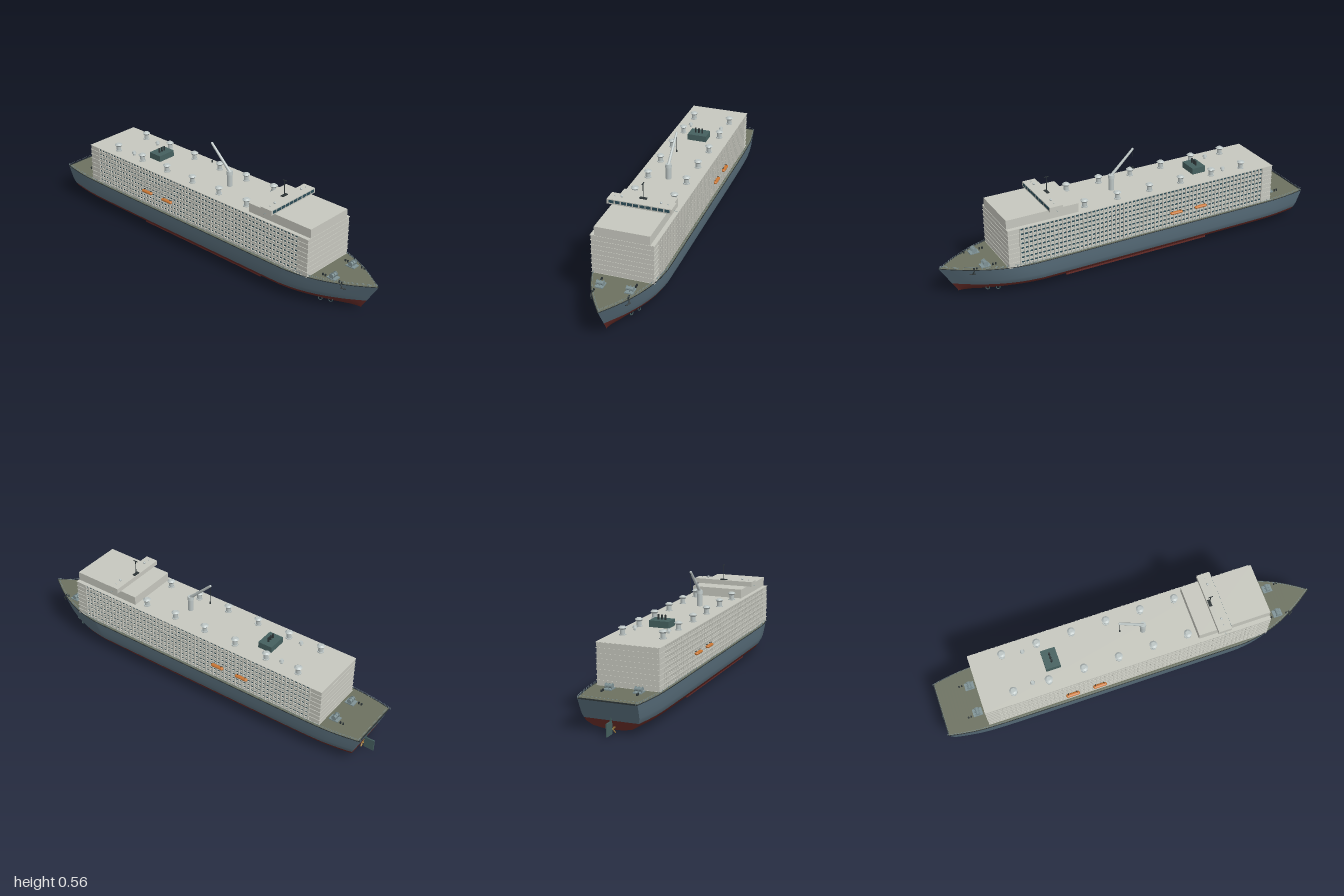
import * as THREE from 'three';
import { mergeGeometries } from 'three/addons/utils/BufferGeometryUtils.js';

const mat = (color, side = THREE.FrontSide) => new THREE.MeshStandardMaterial({ color, side });
const M = {
  blue: mat(0x566b78, THREE.DoubleSide), red: mat(0x642a26, THREE.DoubleSide),
  deck: mat(0x6c7160, THREE.DoubleSide), cream: mat(0xc6c7be), glass: mat(0x2c4c57),
  teal: mat(0x45605f), metal: mat(0x7f9295), pale: mat(0xbcc5c4), dark: mat(0x2c3436),
  orange: mat(0xc87533), brass: mat(0xb08a45),
};

// Geometry helpers: each returns a placed geometry ready for merging
const box = (x0, x1, y0, y1, z0, z1) =>
  new THREE.BoxGeometry(x1 - x0, y1 - y0, z1 - z0).translate((x0 + x1) / 2, (y0 + y1) / 2, (z0 + z1) / 2);
const cyl = (x, y0, y1, z, r0, r1 = r0, n = 12) =>
  new THREE.CylinderGeometry(r1, r0, y1 - y0, n).translate(x, (y0 + y1) / 2, z);
const ball = (x, y, z, r) => new THREE.SphereGeometry(r, 12, 8).translate(x, y, z);
const bar = (a, b, r0, r1 = r0, n = 8) => {
  const p = new THREE.Vector3(...a), d = new THREE.Vector3(...b).sub(p), len = d.length();
  const q = new THREE.Quaternion().setFromUnitVectors(new THREE.Vector3(0, 1, 0), d.normalize());
  return new THREE.CylinderGeometry(r1, r0, len, n).translate(0, len / 2, 0).applyQuaternion(q).translate(...a);
};

// Hull plan: half breadth along the length at deck level
const plan = new THREE.SplineCurve([[-0.99, 0.142], [-0.9, 0.158], [-0.78, 0.169], [-0.5, 0.172], [0, 0.172],
  [0.5, 0.172], [0.6, 0.169], [0.7, 0.152], [0.8, 0.118], [0.9, 0.067], [1, 0]].map(p => new THREE.Vector2(...p)));
const DECK = 0.158;
// Point on the hull: t along the length, y height, f breadth factor
function hullPoint(t, y, f) {
  const p = plan.getPoint(t), k = 1 - Math.min(1, (y - 0.015) / (DECK - 0.015));
  const u = (p.x + 0.99) / 1.99;
  return [p.x + k * (0.055 * (1 - u) - 0.09 * u), y, Math.max(0, p.y) * f];
}
function gridGeometry(rows) {
  const n = rows[0].length, index = [];
  for (let i = 0; i < rows.length - 1; i++) for (let j = 0; j < n - 1; j++) {
    const a = i * n + j, b = a + n;
    index.push(a, a + 1, b, b, a + 1, b + 1);
  }
  const g = new THREE.BufferGeometry();
  g.setAttribute('position', new THREE.Float32BufferAttribute(rows.flat(2), 3));
  g.setIndex(index);
  g.computeVertexNormals();
  return g;
}
// Side shells and transom of one band of the hull
function hullBand(levels) {
  const N = 64, parts = [];
  for (const s of [1, -1]) {
    parts.push(gridGeometry(levels.map(([y, f]) => Array.from({ length: N + 1 }, (_, i) => {
      const p = hullPoint(s > 0 ? i / N : 1 - i / N, y, f);
      return [p[0], p[1], p[2] * s];
    }))));
  }
  parts.push(gridGeometry(levels.map(([y, f]) => {
    const p = hullPoint(0, y, f);
    return [[p[0], p[1], -p[2]], [p[0], p[1], p[2]]];
  })));
  return mergeGeometries(parts);
}

export function createModel() {
  const ship = new THREE.Group();
  ship.name = 'ship';
  const add = (name, material, ...geos) => {
    const m = new THREE.Mesh(mergeGeometries(geos.flat()), material);
    m.name = name;
    ship.add(m);
  };
  const both = f => [1, -1].flatMap(f);

  // Hull
  add('topsides', M.blue, hullBand([[0.062, 0.915], [0.075, 0.95], [0.09, 0.975], [0.125, 0.992], [DECK, 1]]));
  add('bottom', M.red, hullBand([[0.015, 0], [0.018, 0.36], [0.027, 0.66], [0.045, 0.855], [0.062, 0.915]]));
  const edge = Array.from({ length: 65 }, (_, i) => hullPoint(i / 64, DECK, 1));
  add('mainDeck', M.deck, gridGeometry(edge.map(([x, y, z]) => [[x, y - 0.001, -z], [x, y - 0.001, z]])));

  // Deck edge and railings
  const rim = (y, inset, r) => both(s => new THREE.TubeGeometry(new THREE.CatmullRomCurve3(
    edge.map(([x, , z]) => new THREE.Vector3(x - inset * 1.5, y, s * Math.max(0, z - inset)))), 100, r, 5));
  add('gunwale', M.dark, rim(DECK, 0, 0.002), box(-0.991, -0.987, 0.154, 0.16, -0.142, 0.142));
  add('railings', M.metal, rim(0.169, 0.004, 0.0006), rim(0.164, 0.004, 0.0005),
    bar([-0.985, 0.169, -0.138], [-0.985, 0.169, 0.138], 0.0006),
    both(s => edge.map(([x, , z]) => cyl(x - 0.006, 0.157, 0.169, s * Math.max(0, z - 0.004), 0.0007, 0.0007, 5))));

  // Accommodation block: solid ends, glazed sides, deck slabs and cabin dividers
  const X0 = -0.78, X1 = 0.705, B0 = -0.72, B1 = 0.645, Y0 = 0.158, Y1 = 0.355, W = 0.152;
  const floors = 8, pitch = (Y1 - Y0) / floors;
  add('accommodationEnds', M.cream, box(X0, B0, Y0, Y1, -W, W), box(B1, X1, Y0, Y1, -W, W));
  add('cabinWindows', M.glass, box(B0, B1, Y0, Y1 - 0.001, -W + 0.006, W - 0.006));
  const slabs = [], ledges = [], dividers = [];
  for (let i = 0; i <= floors; i++) {
    const y = Y0 + i * pitch;
    slabs.push(box(B0, B1, Math.max(Y0, y - 0.003), Math.min(Y1, y + 0.008), -W, W));
    ledges.push(box(X0 - 0.002, X1 + 0.002, y - 0.0025, y, -W - 0.003, W + 0.003));
  }
  for (let i = 0; i <= 62; i++) {
    const x = B0 + (B1 - B0) * i / 62;
    dividers.push(...both(s => box(x - 0.003, x + 0.003, Y0, Y1, s * W - 0.006, s * W + 0.001)));
  }
  add('balconySlabs', M.cream, slabs);
  add('deckLedges', M.cream, ledges);
  add('cabinDividers', M.cream, dividers);
  add('roof', M.cream, box(X0, X1, Y1 - 0.002, Y1 + 0.001, -0.156, 0.156));

  // Upper house and bridge
  add('upperHouse', M.cream, box(0.33, X1, Y1, 0.402, -0.135, 0.135));
  add('bridge', M.cream, box(0.422, 0.49, 0.402, 0.427, -0.16, 0.16));
  const panes = [];
  for (let i = 0; i < 10; i++) {
    const z = (i - 4.5) * 0.0305;
    panes.push(box(0.488, 0.4915, 0.409, 0.423, z - 0.012, z + 0.012));
  }
  add('bridgeWindows', M.glass, panes);
  add('bridgeWingRails', M.metal, both(s => bar([0.456, 0.404, s * 0.16], [0.456, 0.404, s * 0.175], 0.001)));
  add('radarMast', M.dark, cyl(0.432, 0.427, 0.507, 0, 0.002), box(0.42, 0.444, 0.505, 0.508, -0.002, 0.002),
    box(0.425, 0.44, 0.427, 0.431, -0.018, 0.018));
  add('bridgeDomes', M.pale, both(s => [ball(0.456, 0.434, s * 0.097, 0.006), ball(0.456, 0.432, s * 0.131, 0.003),
    cyl(0.456, 0.426, 0.432, s * 0.131, 0.0012)]));

  // Roof ventilators
  const vents = [], smallVents = [];
  for (const s of [1, -1]) {
    for (let i = 0; i < 6; i++) {
      const x = -0.618 + i * 0.18;
      vents.push(cyl(x, Y1, 0.36, s * 0.1, 0.017), cyl(x, 0.36, 0.385, s * 0.1, 0.012),
        cyl(x, 0.382, 0.39, s * 0.1, 0.014, 0.02, 16), cyl(x, 0.39, 0.397, s * 0.1, 0.02, 0.011, 16));
    }
    smallVents.push(cyl(-0.517, Y1, 0.367, s * 0.085, 0.006), cyl(-0.517, 0.367, 0.378, s * 0.085, 0.012, 0.008));
  }
  add('ventilators', M.pale, vents);
  add('smallVentilators', M.pale, smallVents);

  // Engine casing with exhaust pipes
  add('engineCasing', M.teal, box(-0.435, -0.36, Y1, 0.388, -0.05, 0.05));
  add('exhaustPipes', M.dark, [-0.018, 0, 0.018].map(z => cyl(-0.397, 0.385, 0.411, z, 0.005)));

  // Deck crane
  add('craneBase', M.pale, cyl(0.082, Y1, 0.42, 0, 0.014, 0.014, 16), cyl(0.082, 0.42, 0.437, 0, 0.017, 0.015, 16));
  add('craneBoom', M.pale, bar([0.085, 0.43, 0], [-0.038, 0.55, 0], 0.008, 0.006, 10), ball(-0.038, 0.55, 0, 0.006));
  add('craneHook', M.dark, cyl(-0.038, 0.452, 0.55, 0, 0.001, 0.001, 6), cyl(-0.038, 0.445, 0.455, 0, 0.004));

  // Lifeboats with davits
  const boats = [], davits = [];
  for (const s of [1, -1]) for (const x of [-0.342, -0.2]) {
    boats.push(new THREE.CapsuleGeometry(0.009, 0.053, 5, 12).rotateZ(Math.PI / 2)
      .scale(1, 0.8, 1.1).translate(x, 0.231, s * 0.163));
    for (const d of [-0.022, 0.022])
      davits.push(bar([x + d, 0.238, s * 0.15], [x + d, 0.244, s * 0.163], 0.0015),
        bar([x + d, 0.244, s * 0.163], [x + d, 0.232, s * 0.163], 0.001));
  }
  add('lifeboats', M.orange, boats);
  add('davits', M.dark, davits);

  // Mooring winches and bollards
  const winches = [], bollards = [];
  for (const s of [1, -1]) {
    for (const x of [-0.82, 0.797]) {
      const z = s * 0.072;
      winches.push(box(x - 0.024, x + 0.024, DECK, 0.163, z - 0.02, z + 0.02),
        bar([x, 0.173, z - 0.016], [x, 0.173, z + 0.016], 0.009, 0.009, 14),
        ...[-0.016, 0, 0.016].map(d => bar([x, 0.173, z + d - 0.0015], [x, 0.173, z + d + 0.0015], 0.013, 0.013, 16)));
      for (const d of [-0.05, 0.045])
        bollards.push(cyl(x + d, DECK, 0.168, s * 0.085, 0.004), cyl(x + d + 0.014, DECK, 0.168, s * 0.085, 0.004));
    }
  }
  add('winches', M.metal, winches);
  add('bollards', M.dark, bollards);

  // Bow anchors and thruster rings on the hull sides
  add('anchors', M.dark, both(s => [bar([0.857, 0.154, s * 0.092], [0.868, 0.137, s * 0.09], 0.003),
    bar([0.856, 0.139, s * 0.096], [0.88, 0.137, s * 0.082], 0.003)]));
  add('thrusterRings', M.teal, both(s => [0.745, 0.79].map(x =>
    new THREE.TorusGeometry(0.009, 0.002, 6, 18).rotateY(s * 0.4).translate(x, 0.036, s * (0.094 - (x - 0.745) * 0.45)))));

  // Bilge keels
  add('bilgeKeels', M.red, both(s => box(-0.4, 0.4, 0.021, 0.03, s * 0.124 - 0.002, s * 0.124 + 0.002)));

  // Propeller, shaft and rudder
  const blades = [];
  for (let i = 0; i < 4; i++) blades.push(new THREE.SphereGeometry(1, 10, 8).scale(0.002, 0.01, 0.005)
    .rotateY(0.5).translate(0, 0.013, 0).rotateX(Math.PI / 4 + i * Math.PI / 2).translate(-0.94, 0.019, 0));
  add('propeller', M.brass, blades, bar([-0.946, 0.019, 0], [-0.932, 0.019, 0], 0.004, 0.005));
  add('propellerShaft', M.metal, bar([-0.935, 0.019, 0], [-0.88, 0.019, 0], 0.003));
  add('rudder', M.teal, box(-1, -0.948, 0, 0.06, -0.003, 0.003), cyl(-0.956, 0.05, 0.09, 0, 0.003));
  return ship;
}
